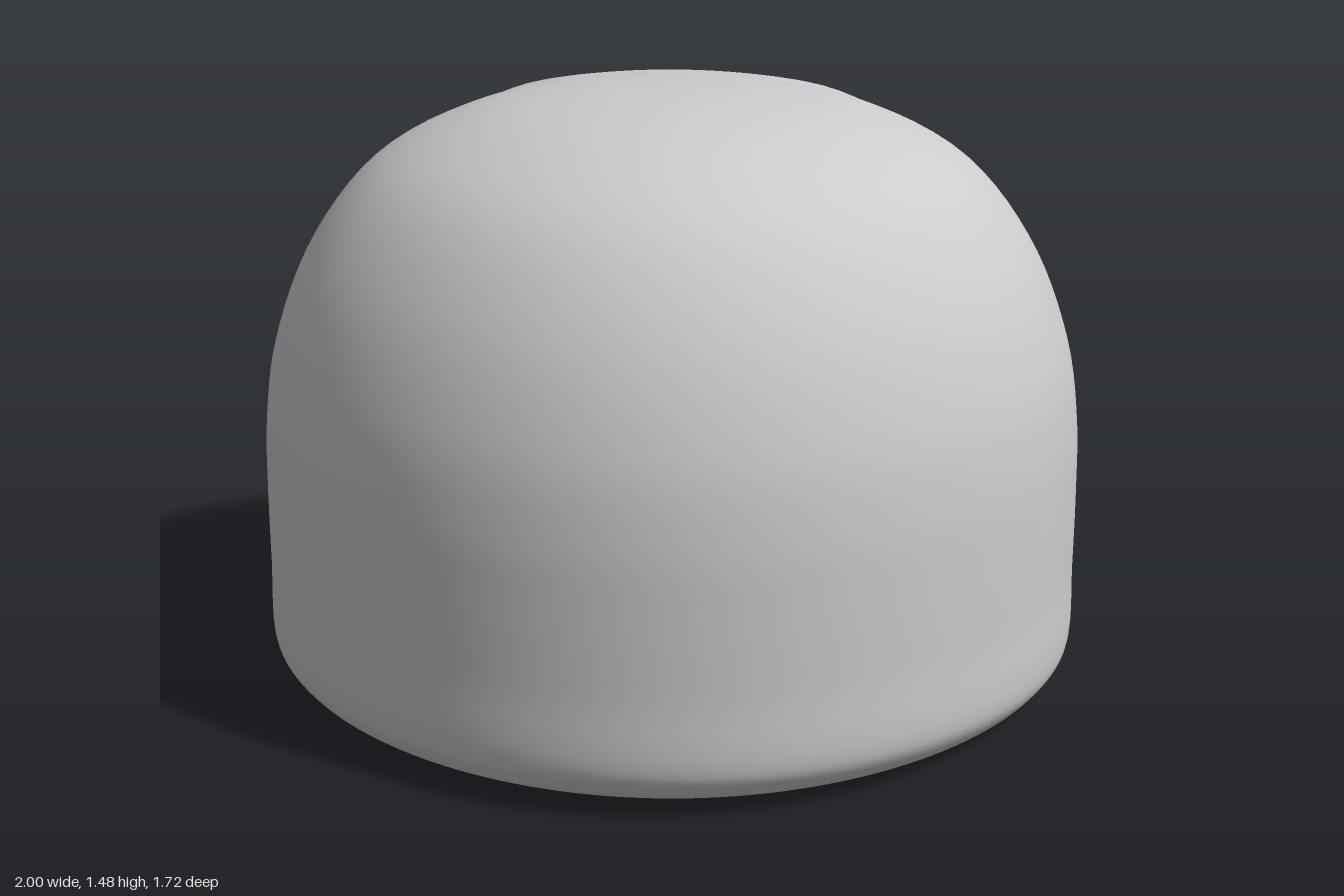
import * as THREE from 'three';

// Plan outline: half ellipses in front of and behind the crown line
const CROWN_Z = -0.08, FRONT = 0.935, BACK = 0.775;
const material = new THREE.MeshStandardMaterial({ color: 0xcccccc, side: THREE.DoubleSide });
const { smoothstep, degToRad } = THREE.MathUtils;

// Smooth profile of [radius, height, end angle in degrees] points
function profile(points, count) {
  const curve = new THREE.CatmullRomCurve3(
    points.map(([r, y, a]) => new THREE.Vector3(r, y, a / 100)), false, 'centripetal');
  return curve.getPoints(count);
}

// Sweeps a profile round the plan; angles are measured from the opening at -z.
// span(endAngle) gives the first and last angle, shape(point, radius, u) adjusts each point.
function sweep(name, rows, columns, span, shape) {
  const positions = [], index = [], p = new THREE.Vector3();
  rows.forEach((row, i) => {
    const [from, to] = span(Math.max(row.z, 0) * 100);
    const r = Math.max(row.x, 0);
    for (let j = 0; j <= columns; j++) {
      const t = degToRad(from + (to - from) * j / columns);
      const reach = r * (1 - 0.018 * Math.sin(2 * t) ** 2);
      const depth = Math.cos(t) > 0 ? BACK : FRONT;
      p.set(reach * Math.sin(t), row.y, CROWN_Z - depth * reach * Math.cos(t));
      shape(p, r, 2 * j / columns - 1);
      positions.push(p.x, p.y, p.z);
      if (i && j) {
        const a = (i - 1) * (columns + 1) + j - 1, b = a + columns + 1;
        index.push(a, b, a + 1, a + 1, b, b + 1);
      }
    }
  });
  const geometry = new THREE.BufferGeometry();
  geometry.setAttribute('position', new THREE.Float32BufferAttribute(positions, 3));
  geometry.setIndex(index);
  geometry.computeVertexNormals();
  const mesh = new THREE.Mesh(geometry, material);
  mesh.name = name;
  return mesh;
}

// Rounded minimum of two lengths
function softMin(a, b, k) {
  const h = Math.max(k - Math.abs(a - b), 0) / k;
  return Math.min(a, b) - h * h * k / 4;
}

export function createModel() {
  const group = new THREE.Group();
  group.name = 'helmet';

  // Shell: rim rolled inward and up, cheeks curling in across the opening, closed dome
  const shell = profile([
    [0.68, 0.36, 43], [0.68, 0.15, 43], [0.695, 0.06, 43], [0.76, 0.008, 40],
    [0.85, 0, 36], [0.93, 0.012, 34], [0.972, 0.05, 34], [0.997, 0.1, 34],
    [1, 0.3, 34], [1, 0.5, 35], [0.995, 0.66, 36], [0.967, 0.85, 34],
    [0.875, 1.09, 30], [0.72, 1.29, 25], [0.5, 1.41, 15], [0.25, 1.465, 0], [0, 1.48, 0]], 90);
  group.add(sweep('shell', shell, 128, a => [a, 360 - a], (p, r) => {
    // the open side is flattened, less so higher up under the brow
    const rise = smoothstep(p.y, 0.4, 0.7);
    const limit = 0.35 + 0.08 * smoothstep(r, 0.68, 0.97)
      + 0.045 * rise + 0.42 * smoothstep(p.y, 0.66, 1.1);
    p.z = -softMin(-p.z, limit, 0.14 - 0.06 * rise);
    p.y += 0.02 * (p.z + 0.4) * Math.max(0, 1 - p.y / 0.3);
  }));

  // Brow panel above the opening, with a rolled lower edge and tucked sides
  const brow = profile([
    [0.9, 0.73, 59], [0.92, 0.665, 60], [0.955, 0.637, 62], [0.99, 0.65, 62],
    [1.004, 0.69, 60], [0.994, 0.77, 56], [0.977, 0.85, 54], [0.92, 1.03, 54],
    [0.831, 1.19, 54], [0.708, 1.325, 54], [0.545, 1.408, 55], [0.38, 1.449, 57],
    [0.28, 1.458, 58], [0.2, 1.455, 58]], 52);
  group.add(sweep('browPanel', brow, 56, a => [-a, a], (p, r, u) => {
    const edge = Math.abs(u) ** 14;
    p.x *= 1 - 0.02 * edge;
    p.z *= 1 - 0.02 * edge;
    p.y += 0.025 * u * u * (1 - smoothstep(p.y, 0.65, 0.85)) - 0.012 * edge;
  }));

  return group;
}
